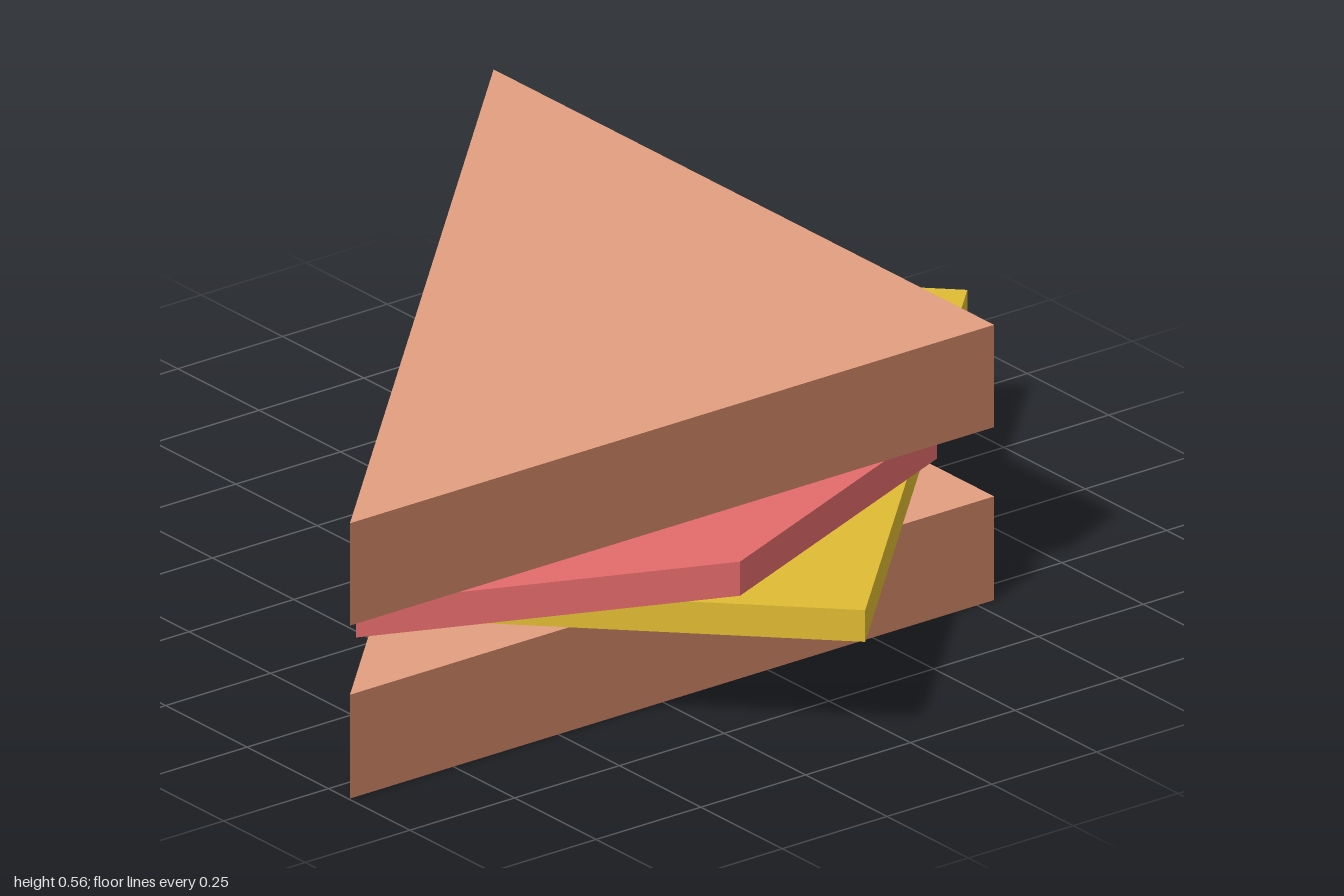
import * as THREE from 'three';

function material(name, color) {
  const m = new THREE.MeshStandardMaterial({ color });
  m.name = name;
  return m;
}

// Flat slab from an (x, z) outline, standing between two heights
function slab(outline, bottom, top) {
  const shape = new THREE.Shape(outline.map(([x, z]) => new THREE.Vector2(x, -z)));
  const geometry = new THREE.ExtrudeGeometry(shape, { depth: top - bottom, bevelEnabled: false });
  geometry.rotateX(-Math.PI / 2);
  geometry.translate(0, bottom, 0);
  return geometry;
}

// Group 1 (crust) on the outer +x and -z sides, group 0 (crumb) elsewhere
function splitCrust(geometry) {
  const normal = geometry.attributes.normal;
  geometry.clearGroups();
  for (let i = 0; i < normal.count; i += 3) {
    const crust = normal.getX(i) > 0.9 || normal.getZ(i) < -0.9;
    geometry.addGroup(i, 3, crust ? 1 : 0);
  }
  return geometry;
}

export function createModel() {
  const crumb = material('crumb', 0xe29e80);
  const crust = material('crust', 0xb87558);
  const meatRed = material('meat red', 0xe46b6b);
  const cheeseYellow = material('cheese yellow', 0xe0bb33);

  const group = new THREE.Group();
  group.name = 'sandwich';
  const add = (name, geometry, mat) => {
    const mesh = new THREE.Mesh(geometry, mat);
    mesh.name = name;
    group.add(mesh);
  };

  // Two triangular bread slices, cut along the diagonal
  const bread = [[-0.975, -0.54], [0.562, -0.54], [0.562, 0.997]];
  add('bottomBread', splitCrust(slab(bread, 0, 0.213)), [crumb, crust]);
  add('topBread', splitCrust(slab(bread, 0.355, 0.565)), [crumb, crust]);

  // Cheese slice, half of a square
  const cheese = [[-0.112, -1], [0.972, 0.086], [0.31, 0.75], [-0.776, -0.338]];
  add('cheese', slab(cheese, 0.22, 0.285), cheeseYellow);

  // Meat slice, half of an octagon
  const meat = [];
  for (let i = 0; i < 5; i++) {
    const a = -Math.PI * 0.75 + i * Math.PI / 4;
    meat.push([-0.207 + 0.98 * Math.cos(a), 0.23 + 0.98 * Math.sin(a)]);
  }
  add('meat', slab(meat, 0.285, 0.355), meatRed);

  return group;
}
